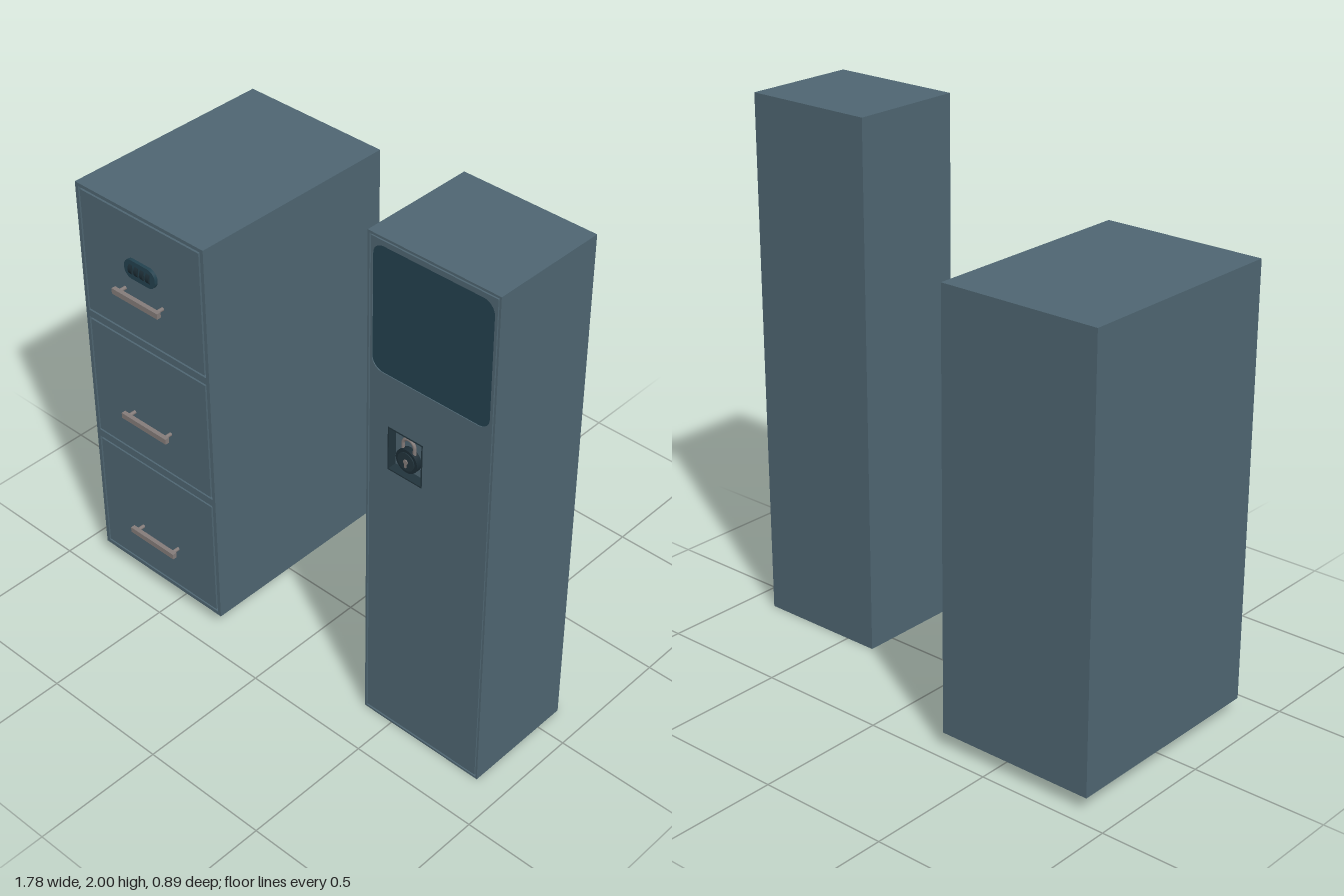
import * as THREE from 'three';

const mat = (name, color, extra = {}) => Object.assign(new THREE.MeshStandardMaterial({ color }), { name }, extra);

export function createModel() {
  const root = new THREE.Group();
  const steel = mat('blueGreySteel', 0x4e6571);
  const glass = mat('darkTealPanel', 0x23414e);
  const gap = mat('darkGap', 0x22343c);
  const black = mat('blackMetal', 0x1c2c34);
  const grey = mat('warmGreyMetal', 0x837b79);

  function add(parent, name, geo, material, x = 0, y = 0, z = 0) {
    const m = new THREE.Mesh(geo, material);
    m.name = name;
    m.position.set(x, y, z);
    parent.add(m);
    return m;
  }
  // Box given by its limits
  function box(parent, name, material, x0, x1, y0, y1, z0, z1) {
    return add(parent, name, new THREE.BoxGeometry(x1 - x0, y1 - y0, z1 - z0), material,
      (x0 + x1) / 2, (y0 + y1) / 2, (z0 + z1) / 2);
  }
  // Rectangle outline with optional round corners
  function rect(x0, x1, y0, y1, r = 0, Type = THREE.Shape) {
    const s = new Type();
    if (!r) {
      s.moveTo(x0, y0); s.lineTo(x1, y0); s.lineTo(x1, y1); s.lineTo(x0, y1); s.closePath();
      return s;
    }
    s.moveTo(x0 + r, y0);
    s.lineTo(x1 - r, y0); s.absarc(x1 - r, y0 + r, r, -Math.PI / 2, 0);
    s.lineTo(x1, y1 - r); s.absarc(x1 - r, y1 - r, r, 0, Math.PI / 2);
    s.lineTo(x0 + r, y1); s.absarc(x0 + r, y1 - r, r, Math.PI / 2, Math.PI);
    s.lineTo(x0, y0 + r); s.absarc(x0 + r, y0 + r, r, Math.PI, Math.PI * 1.5);
    return s;
  }
  // Front plate from z0 to z1 with holes
  function plate(parent, name, material, shape, holes, z0, z1) {
    shape.holes.push(...holes);
    const geo = new THREE.ExtrudeGeometry(shape, { depth: z1 - z0, bevelEnabled: false, curveSegments: 10 });
    return add(parent, name, geo, material, 0, 0, z0);
  }

  // ---- Filing cabinet ----
  const cabinet = new THREE.Group();
  cabinet.name = 'filingCabinet';
  root.add(cabinet);
  const [cx0, cx1] = [-0.89, -0.275];
  const [dx0, dx1] = [-0.876, -0.289];
  const drawers = [[0.07, 0.575], [0.605, 1.112], [1.14, 1.647]];
  box(cabinet, 'cabinetBody', steel, cx0, cx1, 0.055, 1.66, -0.445, 0.38);
  plate(cabinet, 'cabinetFrame', steel, rect(cx0, cx1, 0.055, 1.66),
    drawers.map(([a, b]) => rect(dx0, dx1, a, b, 0, THREE.Path)), 0.38, 0.4);

  const hx = -0.578;
  drawers.forEach(([a, b], i) => {
    const drawer = new THREE.Group();
    drawer.name = 'drawer' + (i + 1);
    cabinet.add(drawer);
    box(drawer, 'drawerGap', gap, dx0, dx1, a, b, 0.379, 0.385);
    const g = 0.008;
    box(drawer, 'drawerFront', steel, dx0 + g, dx1 - g, a + g, b - g, 0.381, 0.4);
    // Pull handle on two posts
    const y = [0.258, 0.794, 1.33][i];
    box(drawer, 'handleBar', grey, hx - 0.112, hx + 0.112, y - 0.011, y + 0.011, 0.428, 0.445);
    for (const s of [-1, 1]) {
      const post = add(drawer, 'handlePost', new THREE.CylinderGeometry(0.007, 0.007, 0.04, 12), grey, hx + s * 0.092, y, 0.414);
      post.rotation.x = Math.PI / 2;
    }
  });

  // Combination lock with four number wheels
  const combo = new THREE.Group();
  combo.name = 'combinationLock';
  cabinet.add(combo);
  plate(combo, 'lockHousing', glass, rect(hx - 0.075, hx + 0.075, 1.397, 1.472, 0.034), [], 0.398, 0.413);
  for (let i = 0; i < 4; i++) {
    const x = hx + (i - 1.5) * 0.028;
    const wheel = add(combo, 'numberWheel', new THREE.CylinderGeometry(0.027, 0.027, 0.016, 16), black, x, 1.435, 0.394);
    wheel.rotation.z = Math.PI / 2;
  }

  // ---- Locker ----
  const locker = new THREE.Group();
  locker.name = 'locker';
  root.add(locker);
  const [lx0, lx1] = [0.375, 0.89];
  box(locker, 'lockerBody', steel, lx0, lx1, 0, 2, -0.11, 0.29);
  plate(locker, 'lockerFrame', steel, rect(lx0, lx1, 0, 2),
    [rect(lx0 + 0.007, lx1 - 0.007, 0.008, 1.992, 0, THREE.Path)], 0.29, 0.33);
  box(locker, 'doorGap', gap, lx0 + 0.007, lx1 - 0.007, 0.008, 1.992, 0.289, 0.292);
  // Door with openings for the upper panel and the lock pocket
  const win = [0.394, 0.868, 1.5, 1.967, 0.045];
  const pocket = [0.465, 0.61, 1.13, 1.302];
  plate(locker, 'lockerDoor', steel, rect(lx0 + 0.012, lx1 - 0.012, 0.014, 1.986),
    [rect(...win, THREE.Path), rect(...pocket, 0, THREE.Path)], 0.29, 0.329);
  plate(locker, 'upperPanel', glass, rect(...win), [], 0.319, 0.326);

  // Lock pocket with a dark rim
  const px = 0.535;
  box(locker, 'pocketBack', steel, ...pocket, 0.289, 0.296);
  plate(locker, 'pocketRim', gap, rect(...pocket),
    [rect(pocket[0] + 0.005, pocket[1] - 0.005, pocket[2] + 0.005, pocket[3] - 0.005, 0, THREE.Path)], 0.294, 0.33);

  // Round padlock
  const padlock = new THREE.Group();
  padlock.name = 'padlock';
  locker.add(padlock);
  const disc = (name, r, depth, material, z) => {
    add(padlock, name, new THREE.CylinderGeometry(r, r, depth, 32), material, px, 1.192, z).rotation.x = Math.PI / 2;
  };
  disc('padlockBody', 0.045, 0.022, black, 0.308);
  disc('padlockDial', 0.034, 0.004, gap, 0.32);
  disc('keyholePlate', 0.009, 0.004, grey, 0.323);
  box(padlock, 'keyholeSlot', grey, px - 0.004, px + 0.004, 1.17, 1.194, 0.32, 0.325);
  add(padlock, 'shackleArch', new THREE.TorusGeometry(0.024, 0.006, 8, 20, Math.PI), grey, px, 1.25, 0.308);
  for (const s of [-1, 1]) {
    add(padlock, 'shackleLeg', new THREE.CylinderGeometry(0.006, 0.006, 0.03, 10), grey, px + s * 0.024, 1.236, 0.308);
  }
  return root;
}
